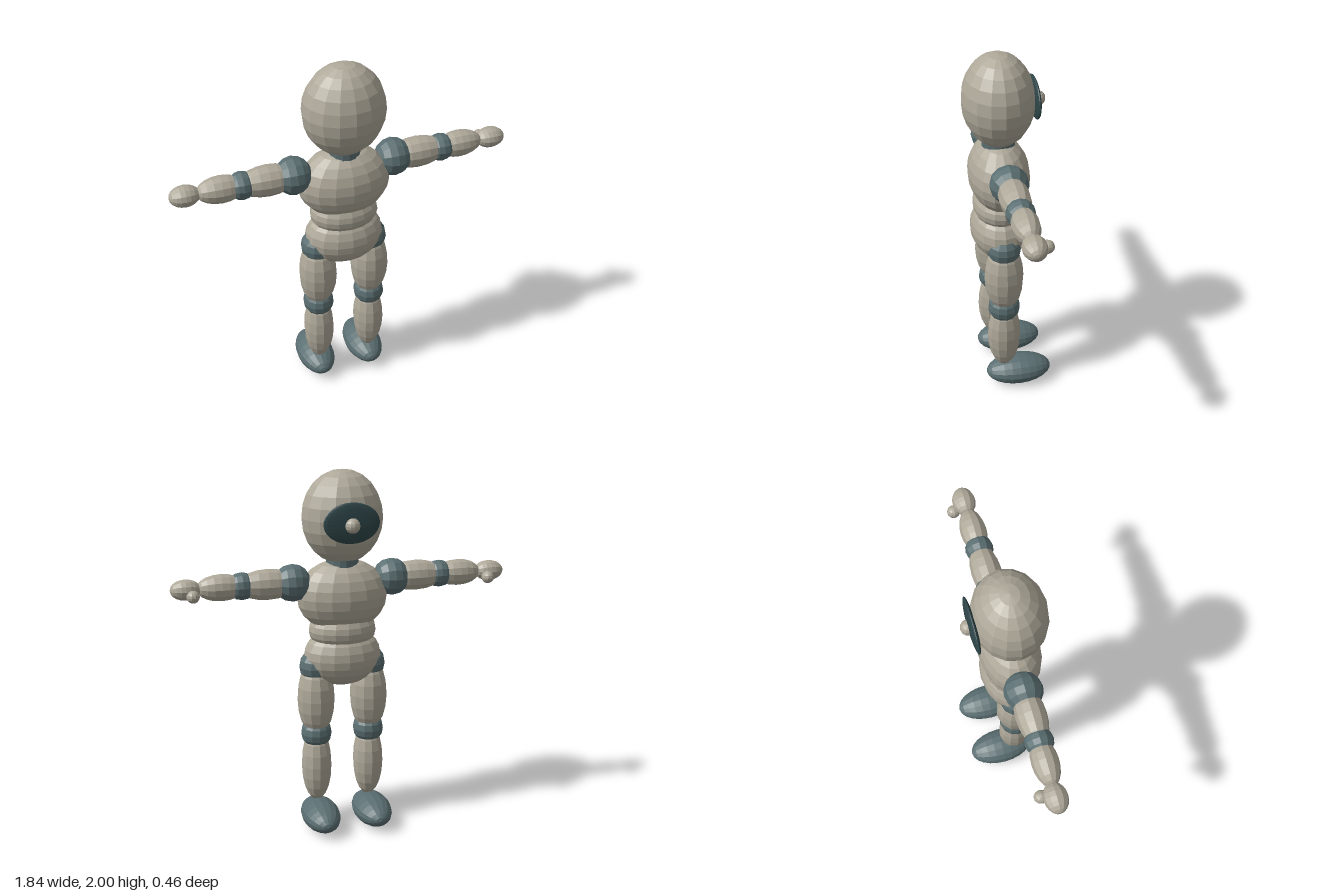
import * as THREE from 'three';

const material = (name, color) => {
  const m = new THREE.MeshStandardMaterial({ color, flatShading: true });
  m.name = name;
  return m;
};

export function createModel() {
  const shell = material('warm grey shell', 0xaea899);
  const joint = material('slate joint', 0x5a6e71);
  const visor = material('dark visor', 0x2f4649);
  const model = new THREE.Group();
  model.name = 'jointedFigure';
  const Z = 0.04; // depth of the body axis

  // Faceted ellipsoid; its poles lie along the chosen axis
  function blob(parent, name, mat, pos, radii, axis = 'y', w = 16, h = 12) {
    const g = new THREE.SphereGeometry(1, w, h);
    if (axis === 'x') g.rotateZ(-Math.PI / 2);
    if (axis === 'z') g.rotateX(Math.PI / 2);
    g.scale(...radii);
    const mesh = new THREE.Mesh(g, mat);
    mesh.name = name;
    mesh.position.set(...pos);
    parent.add(mesh);
  }

  // Head with a visor and nose on the back-facing side
  blob(model, 'head', shell, [0, 1.75, Z], [0.22, 0.25, 0.19]);
  blob(model, 'visor', visor, [0, 1.748, -0.147], [0.15, 0.107, 0.02], 'y', 24, 16);
  blob(model, 'nose', shell, [0, 1.738, -0.165], [0.04, 0.04, 0.04], 'y', 12, 8);

  // Neck
  const neck = new THREE.Mesh(new THREE.CylinderGeometry(0.088, 0.088, 0.12, 16), joint);
  neck.name = 'neck';
  neck.position.set(0, 1.49, Z);
  model.add(neck);

  // Torso
  blob(model, 'chest', shell, [0, 1.325, Z], [0.25, 0.2, 0.163]);
  blob(model, 'abdomen', shell, [0, 1.135, Z], [0.187, 0.12, 0.14]);
  blob(model, 'pelvis', shell, [0, 0.985, Z], [0.217, 0.165, 0.156]);

  for (const [side, s] of [['left', 1], ['right', -1]]) {
    // Arm, held straight out
    const arm = new THREE.Group();
    arm.name = side + 'Arm';
    const y = 1.41;
    blob(arm, 'shoulder', joint, [s * 0.275, y, Z - 0.003], [0.1, 0.102, 0.102], 'x', 12, 8);
    blob(arm, 'upperArm', shell, [s * 0.41, y, Z - 0.003], [0.165, 0.084, 0.08], 'x', 12, 10);
    blob(arm, 'elbow', joint, [s * 0.547, y, Z - 0.003], [0.075, 0.075, 0.075], 'x', 12, 8);
    blob(arm, 'forearm', shell, [s * 0.655, y, Z - 0.005], [0.13, 0.073, 0.07], 'x', 12, 10);
    blob(arm, 'hand', shell, [s * 0.84, y, Z - 0.007], [0.081, 0.056, 0.062], 'x', 12, 10);
    blob(arm, 'thumb', shell, [s * 0.81, 1.387, -0.033], [0.035, 0.033, 0.036], 'y', 10, 8);
    model.add(arm);

    // Leg and foot
    const leg = new THREE.Group();
    leg.name = side + 'Leg';
    const x = s * 0.15;
    blob(leg, 'hip', joint, [x, 0.935, Z], [0.092, 0.092, 0.092], 'y', 12, 8);
    blob(leg, 'thigh', shell, [x, 0.75, Z], [0.105, 0.22, 0.108], 'y', 12, 10);
    blob(leg, 'knee', joint, [x, 0.545, Z], [0.086, 0.088, 0.089], 'y', 12, 8);
    blob(leg, 'shin', shell, [x, 0.355, Z], [0.085, 0.22, 0.093], 'y', 12, 10);
    blob(leg, 'foot', joint, [x, 0.08, -0.045], [0.106, 0.08, 0.186], 'z', 16, 12);
    model.add(leg);
  }
  return model;
}
